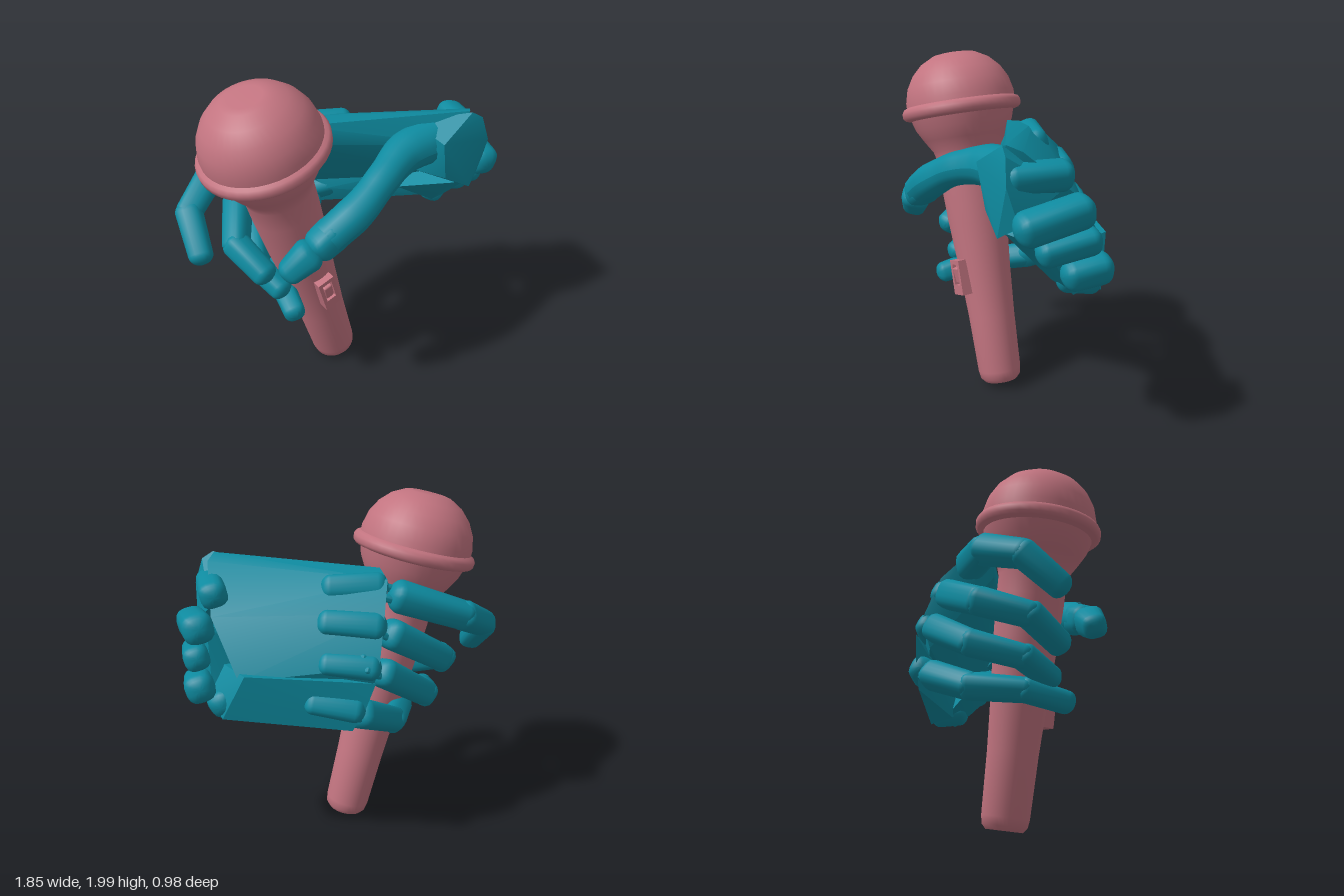
import * as THREE from 'three';
import { toCreasedNormals } from 'three/addons/utils/BufferGeometryUtils.js';
import { ConvexGeometry } from 'three/addons/geometries/ConvexGeometry.js';
import { RoundedBoxGeometry } from 'three/addons/geometries/RoundedBoxGeometry.js';

const V = (p) => new THREE.Vector3(...p);
const teal = new THREE.MeshStandardMaterial({ color: 0x0e8ba0 });
const rose = new THREE.MeshStandardMaterial({ color: 0xc27480 });

function mesh(name, geometry, material, parent) {
  const m = new THREE.Mesh(geometry, material);
  m.name = name;
  parent.add(m);
  return m;
}

// Tapered capsule from a to b, with a squarish cross-section
function segment(name, a, b, ra, rb, parent) {
  const A = V(a), B = V(b), len = A.distanceTo(B), pts = [];
  for (let i = 0; i <= 6; i++) {
    const t = (i / 6) * Math.PI / 2;
    pts.push(new THREE.Vector2(ra * Math.sin(t), -ra * 0.8 * Math.cos(t)));
  }
  for (let i = 0; i <= 6; i++) {
    const t = (i / 6) * Math.PI / 2;
    pts.push(new THREE.Vector2(rb * Math.cos(t), len + rb * 0.8 * Math.sin(t)));
  }
  const g = new THREE.LatheGeometry(pts, 20);
  const p = g.attributes.position;
  for (let i = 0; i < p.count; i++) {
    const c = Math.atan2(p.getZ(i), p.getX(i));
    const k = Math.pow(Math.pow(Math.abs(Math.cos(c)), 3) + Math.pow(Math.abs(Math.sin(c)), 3), -1 / 3);
    p.setX(i, p.getX(i) * k);
    p.setZ(i, p.getZ(i) * k);
  }
  const m = mesh(name, toCreasedNormals(g, 0.9), teal, parent);
  m.position.copy(A);
  m.quaternion.setFromUnitVectors(new THREE.Vector3(0, 1, 0), B.sub(A).normalize());
  return m;
}

function hull(name, points, parent) {
  return mesh(name, toCreasedNormals(new ConvexGeometry(points.map(V)), 0.6), teal, parent);
}

function buildMicrophone() {
  const mic = new THREE.Group();
  mic.name = 'microphone';
  const lathe = (name, profile, crease) => mesh(name,
    toCreasedNormals(new THREE.LatheGeometry(profile.map((q) => new THREE.Vector2(...q)), 40), crease), rose, mic);

  // Tapered handle with a recessed foot, flaring to the basket
  lathe('handle', [[0, 0.05], [0.03, 0.04], [0.055, 0], [0.1, -0.01], [0.122, 0.015], [0.13, 0.06],
    [0.14, 0.4], [0.156, 0.7], [0.178, 1.0], [0.19, 1.25], [0.192, 1.38], [0.205, 1.43],
    [0.25, 1.5], [0.29, 1.57], [0.315, 1.65]], 0.7);
  lathe('ring', [[0.3, 1.625], [0.34, 1.635], [0.355, 1.65], [0.357, 1.68], [0.345, 1.7], [0.31, 1.715]], 0.8);
  lathe('grille', [[0.325, 1.67], [0.325, 1.74], [0.305, 1.82], [0.265, 1.89], [0.205, 1.95],
    [0.13, 1.99], [0.09, 1.997], [0, 1.985]], 0.7);

  // Switch: a raised frame around a rocker
  const sw = new THREE.Group();
  sw.name = 'switch';
  sw.position.set(0, 0.67, 0.16);
  mic.add(sw);
  for (const s of [-1, 1]) {
    mesh('frameSide', new THREE.BoxGeometry(0.022, 0.21, 0.085), rose, sw).position.x = s * 0.042;
    mesh('frameEnd', new THREE.BoxGeometry(0.064, s > 0 ? 0.025 : 0.06, 0.085), rose, sw)
      .position.y = s > 0 ? 0.0925 : -0.075;
  }
  mesh('frameBase', new THREE.BoxGeometry(0.07, 0.19, 0.04), rose, sw);
  const rocker = mesh('rocker', new RoundedBoxGeometry(0.055, 0.1, 0.06, 2, 0.01), rose, sw);
  rocker.position.set(0, 0.015, 0.012);
  rocker.rotation.x = 0.15;

  mic.position.set(-0.06, 0.045, 0.035);
  mic.rotation.z = 0.265;
  return mic;
}

// Finger with two hinge pins and three jointed segments
function buildFinger(name, path, r, parent) {
  const finger = new THREE.Group();
  finger.name = name;
  parent.add(finger);
  const base = V(path[0]), dir = V(path[1]).sub(base);
  const start = base.clone().addScaledVector(dir, 0.2);
  for (const s of [-1, 1]) {
    const off = new THREE.Vector3(0, 0.7, 0.7).multiplyScalar(s * r * 0.45);
    const back = base.clone().addScaledVector(dir, -0.15);
    segment('hingePin', back.add(off).toArray(), start.clone().add(off).toArray(), 0.02, 0.02, finger);
  }
  const parts = ['proximal', 'middle', 'tip'];
  const pts = [start.toArray(), ...path.slice(1)];
  parts.forEach((part, i) => {
    const k = 1 - i * 0.07;
    segment(part, pts[i], pts[i + 1], r * k, r * k * 0.9, finger);
  });
}

function buildThumb(parent) {
  const thumb = new THREE.Group();
  thumb.name = 'thumb';
  parent.add(thumb);
  // Curved body whose radius swells at the joints
  const path = new THREE.CatmullRomCurve3([[0.42, 1.5, 0.28], [0.22, 1.49, 0.29], [0.02, 1.44, 0.36],
    [-0.16, 1.35, 0.4], [-0.36, 1.24, 0.39]].map(V));
  const radii = [0.125, 0.115, 0.095, 0.09, 0.1, 0.095];
  const n = 32, g = new THREE.TubeGeometry(path, n, 1, 18), p = g.attributes.position, v = new THREE.Vector3();
  for (let i = 0; i < p.count; i++) {
    const t = Math.floor(i / 19) / n, c = path.getPointAt(t);
    const f = Math.min(t * 5, 4.999), j = Math.floor(f);
    v.fromBufferAttribute(p, i).sub(c).multiplyScalar(THREE.MathUtils.lerp(radii[j], radii[j + 1], f - j)).add(c);
    p.setXYZ(i, v.x, v.y, v.z);
  }
  g.computeVertexNormals();
  mesh('thumbBody', g, teal, thumb);
  segment('thumbJoint', [-0.33, 1.255, 0.39], [-0.4, 1.215, 0.385], 0.09, 0.085, thumb);
  segment('thumbTip', [-0.47, 1.17, 0.37], [-0.56, 1.09, 0.34], 0.085, 0.068, thumb);
}

function buildHand() {
  const hand = new THREE.Group();
  hand.name = 'hand';

  // Back of the hand, little-finger edge and thumb base
  hull('palm', [[-0.2, 1.62, -0.1], [-0.16, 1.6, -0.26], [-0.08, 1.46, -0.38], [-0.01, 1.2, -0.46],
    [-0.17, 1.5, -0.08], [-0.06, 1.33, -0.24], [0.0, 1.04, -0.4], [0.03, 1.06, -0.34],
    [0.58, 1.68, 0.4], [0.64, 1.65, 0.34], [0.72, 1.42, 0.08], [0.66, 1.12, -0.14],
    [0.5, 1.5, 0.4], [0.55, 1.2, 0.2], [0.5, 1.06, -0.05]], hand);
  hull('palmEdge', [[0.12, 0.83, -0.41], [0.07, 0.95, -0.45], [0.02, 1.12, -0.48], [0.13, 0.98, -0.3],
    [0.64, 1.16, -0.18], [0.74, 0.89, -0.08], [0.62, 0.91, 0.02], [0.68, 1.15, 0.1], [0.78, 1.0, 0.04]], hand);
  hull('thumbBase', [[0.34, 1.61, 0.2], [0.37, 1.56, 0.44], [0.58, 1.68, 0.42], [0.64, 1.64, 0.44],
    [0.68, 1.5, 0.46], [0.3, 1.35, 0.26], [0.42, 1.32, 0.42], [0.58, 1.22, 0.45], [0.7, 1.3, 0.4],
    [0.7, 1.45, 0.15], [0.5, 1.25, 0.2]], hand);
  hull('heel', [[0.5, 1.25, 0.4], [0.35, 1.12, 0.1], [0.62, 1.25, 0.42], [0.6, 0.95, 0.14],
    [0.72, 0.89, 0.08], [0.76, 0.95, 0.0], [0.78, 1.2, 0.3], [0.74, 1.35, 0.1], [0.62, 0.92, -0.02]], hand);

  // Knuckles along the top of the palm
  const knuckles = [[[-0.13, 1.55, -0.2], [0.1, 1.55, -0.1], 0.085], [[-0.05, 1.38, -0.34], [0.18, 1.4, -0.22], 0.085],
    [[0.01, 1.18, -0.41], [0.22, 1.2, -0.3], 0.075], [[0.1, 0.95, -0.4], [0.3, 0.99, -0.3], 0.08]];
  for (const [a, b, r] of knuckles) segment('knuckle', a, b, r * 0.9, r * 0.8, hand);

  // Rounded lobes at the wrist
  const lobes = [[[0.62, 1.52, 0.38], [0.68, 1.52, 0.14], 0.075], [[0.74, 1.3, 0.38], [0.79, 1.36, 0.1], 0.085],
    [[0.76, 1.17, 0.28], [0.82, 1.21, 0.06], 0.07], [[0.79, 1.04, 0.14], [0.83, 1.06, 0.0], 0.08],
    [[0.66, 0.97, 0.08], [0.72, 0.96, -0.03], 0.075]];
  for (const [a, b, r] of lobes) segment('wristLobe', a, b, r, r, hand);

  // Fingers curl round the far side of the handle
  buildFinger('indexFinger', [[-0.15, 1.53, -0.24], [-0.6, 1.36, -0.35], [-0.82, 1.24, -0.24], [-0.865, 1.08, -0.06]], 0.085, hand);
  buildFinger('middleFinger', [[-0.07, 1.37, -0.35], [-0.48, 1.12, -0.32], [-0.63, 1.02, -0.1], [-0.58, 0.92, 0.1]], 0.085, hand);
  buildFinger('ringFinger', [[0.0, 1.18, -0.41], [-0.38, 0.92, -0.32], [-0.52, 0.83, -0.08], [-0.48, 0.76, 0.1]], 0.08, hand);
  buildFinger('littleFinger', [[0.1, 0.93, -0.39], [-0.22, 0.75, -0.25], [-0.41, 0.7, -0.01], [-0.46, 0.65, 0.2]], 0.08, hand);
  buildThumb(hand);
  return hand;
}

export function createModel() {
  const model = new THREE.Group();
  model.name = 'handHoldingMicrophone';
  model.add(buildMicrophone(), buildHand());
  return model;
}
